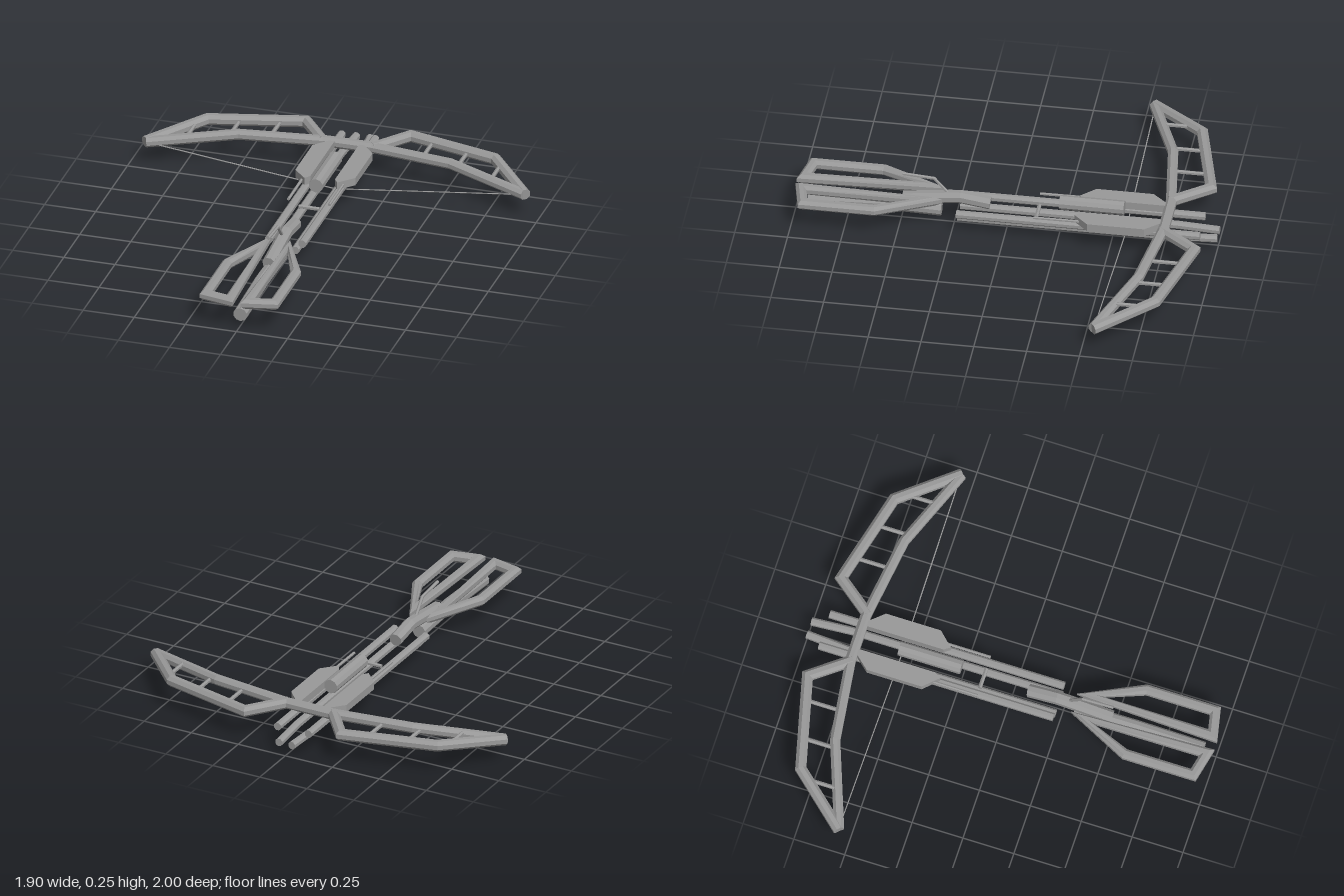
import * as THREE from 'three';

const metal = new THREE.MeshStandardMaterial({ color: 0x999999, flatShading: true });
metal.name = 'grey';

// Mitred bar of constant radius through a list of [x, y, z] points
function barGeometry(points, r, sides = 8, closed = false) {
  const P = points.map((p) => new THREE.Vector3(...p));
  const n = P.length;
  const pos = [], idx = [];
  for (let i = 0; i < n; i++) {
    const prev = closed ? P[(i + n - 1) % n] : P[Math.max(i - 1, 0)];
    const next = closed ? P[(i + 1) % n] : P[Math.min(i + 1, n - 1)];
    let a = P[i].clone().sub(prev).normalize();
    let b = next.clone().sub(P[i]).normalize();
    if (a.lengthSq() === 0) a = b.clone();
    if (b.lengthSq() === 0) b = a.clone();
    const t = a.clone().add(b).normalize();
    const side = new THREE.Vector3(0, 1, 0).cross(t).normalize();
    const up = t.clone().cross(side);
    const bend = b.clone().sub(a).normalize();
    const stretch = 1 / Math.max(t.dot(a), 0.4) - 1;
    for (let k = 0; k < sides; k++) {
      const w = ((k + 0.5) / sides) * Math.PI * 2;
      const v = side.clone().multiplyScalar(Math.cos(w) * r).addScaledVector(up, Math.sin(w) * r);
      v.addScaledVector(bend, v.dot(bend) * stretch).add(P[i]);
      pos.push(v.x, v.y, v.z);
    }
  }
  const spans = closed ? n : n - 1;
  for (let i = 0; i < spans; i++) {
    const j = (i + 1) % n;
    for (let k = 0; k < sides; k++) {
      const m = (k + 1) % sides;
      const a = i * sides + k, b = i * sides + m, c = j * sides + k, d = j * sides + m;
      idx.push(a, b, c, b, d, c);
    }
  }
  if (!closed) {
    const last = (n - 1) * sides;
    for (let k = 1; k < sides - 1; k++) {
      idx.push(0, k + 1, k, last, last + k, last + k + 1);
    }
  }
  const g = new THREE.BufferGeometry();
  g.setAttribute('position', new THREE.Float32BufferAttribute(pos, 3));
  g.setIndex(idx);
  const flat = g.toNonIndexed();
  flat.computeVertexNormals();
  return flat;
}

export function createModel() {
  const root = new THREE.Group();
  root.name = 'crossbow';

  const add = (name, geometry) => {
    const mesh = new THREE.Mesh(geometry, metal);
    mesh.name = name;
    root.add(mesh);
    return mesh;
  };
  const bar = (name, pts, r, sides, closed) => add(name, barGeometry(pts, r, sides, closed));

  // Riser joining the two limbs
  bar('riser', [[-0.13, 0.14, -0.758], [0.13, 0.14, -0.758]], 0.027);

  for (const s of [1, -1]) {
    const label = s > 0 ? 'left' : 'right';
    const pair = (name, pts, r, sides, closed) =>
      bar(label + name, pts.map(([x, y, z]) => [x * s, y, z]), r, sides, closed);

    // Limb frame: outer and inner bars with struts between
    pair('OuterLimb', [[0.12, 0.14, -0.75], [0.255, 0.14, -0.925], [0.705, 0.14, -0.812], [0.93, 0.112, -0.552]], 0.028);
    pair('InnerLimb', [[0.11, 0.14, -0.758], [0.52, 0.14, -0.703], [0.925, 0.112, -0.552]], 0.026);
    for (const [x, z0, z1] of [[0.372, -0.89, -0.73], [0.557, -0.845, -0.69], [0.745, -0.76, -0.63]]) {
      pair('LimbStrut', [[x, 0.137, z0], [x, 0.137, z1]], 0.01, 6);
    }

    // Long rails of the body
    pair('UpperRail', [[0.082, 0.1, -0.925], [0.082, 0.1, 0.228]], 0.02);
    pair('LowerRail', [[0.034, 0.062, -1], [0.048, 0.062, -0.8], [0.048, 0.062, 0.228]], 0.02);
    pair('SideRod', [[0.1, 0.135, -0.6], [0.1, 0.132, -0.14]], 0.007, 6);

    // Chamfered side plate
    const shape = new THREE.Shape(
      [[0.06, -0.74], [0.085, -0.74], [0.147, -0.67], [0.147, -0.4], [0.08, -0.33], [0.06, -0.36]]
        .map(([x, z]) => new THREE.Vector2(x * s, -z)));
    const plate = add(label + 'SidePlate', new THREE.ExtrudeGeometry(shape, { depth: 0.038, bevelEnabled: false }));
    plate.rotation.x = -Math.PI / 2;
    plate.position.y = 0.117;

    // Open shoulder stock loop
    pair('StockLoop', [[0.058, 0.14, 0.36], [0.168, 0.14, 0.605], [0.168, 0.14, 0.942], [0.044, 0.14, 0.969]], 0.026, 8, true);

    // Bowstring half
    pair('Bowstring', [[0, 0.003, -0.555], [0.925, 0.11, -0.555]], 0.003, 5);
  }

  // Central barrel and small cross pin
  bar('barrel', [[0, 0.164, -0.555], [0, 0.164, -0.25]], 0.035, 10);
  bar('crossPin', [[-0.05, 0.1, -0.145], [0.05, 0.1, -0.145]], 0.01, 6);

  // Bent neck and tail of the stock
  bar('neck', [[0, 0.125, 0.08], [0, 0.145, 0.22], [0, 0.14, 0.27], [0, 0.112, 0.49]], 0.032);
  bar('tail', [[0, 0.067, 0.31], [0, 0.075, 0.6], [0, 0.06, 0.94]], 0.034, 10);

  // Bent lever above the neck
  bar('lever', [[0, 0.16, 0.28], [0, 0.235, 0.345], [0, 0.246, 0.495]], 0.008, 6);

  return root;
}
